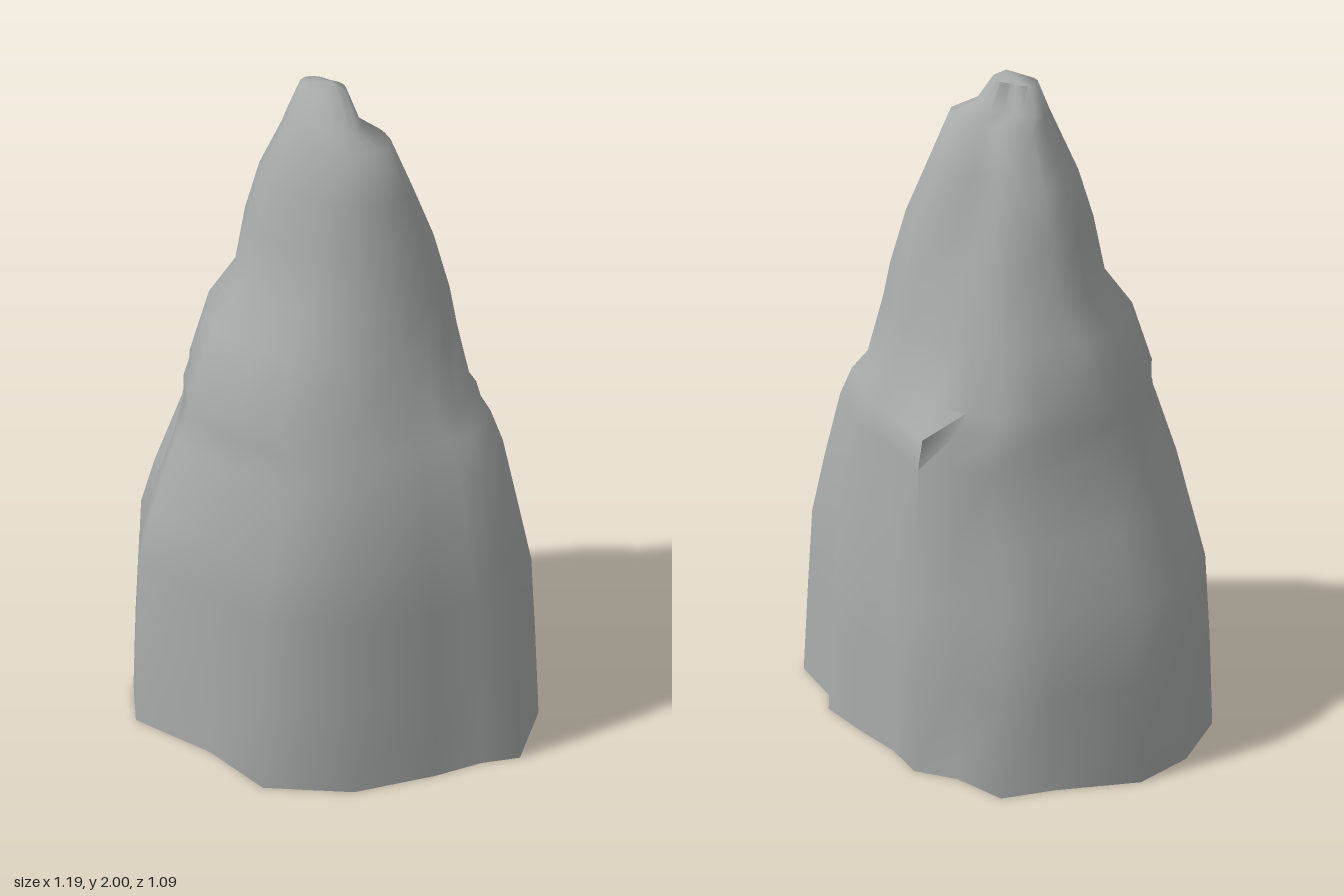
import * as THREE from 'three';
import { toCreasedNormals } from 'three/addons/utils/BufferGeometryUtils.js';

// Foot outline (x, z), clockwise seen from above, starting at the back
const FOOT = [
  [-0.2, -0.55], [0.05, -0.51], [0.21, -0.5], [0.3, -0.37], [0.41, -0.29], [0.44, -0.17],
  [0.51, -0.03], [0.57, 0.11], [0.55, 0.18], [0.59, 0.36], [0.46, 0.54], [0.34, 0.53],
  [0.19, 0.545], [-0.06, 0.545], [-0.31, 0.45], [-0.42, 0.25], [-0.6, 0.04], [-0.57, -0.13],
  [-0.51, -0.16], [-0.48, -0.21], [-0.515, -0.33], [-0.37, -0.48],
];

// Levels: y, xMin, xMax, zMin, zMax, roundness
const LEVELS = [
  [0, -0.6, 0.59, -0.545, 0.545, 0],
  [0.3, -0.58, 0.567, -0.523, 0.527, 0],
  [0.57, -0.557, 0.545, -0.5, 0.51, 0.05],
  [0.75, -0.515, 0.5, -0.425, 0.5, 0.15],
  [0.97, -0.43, 0.465, -0.38, 0.44, 0.3],
  [1.06, -0.405, 0.44, -0.36, 0.41, 0.4],
  [1.12, -0.4, 0.4, -0.35, 0.385, 0.5],
  [1.31, -0.32, 0.35, -0.31, 0.31, 0.6],
  [1.42, -0.235, 0.325, -0.262, 0.275, 0.65],
  [1.58, -0.2, 0.28, -0.235, 0.25, 0.7],
  [1.72, -0.155, 0.225, -0.205, 0.21, 0.75],
  [1.86, -0.095, 0.165, -0.145, 0.175, 0.8],
  [1.9, -0.075, 0.095, -0.13, 0.12, 0.85],
  [1.98, -0.04, 0.07, -0.1, 0.035, 0.9],
];

// Ledged pillars: outline index, top height, offset x and z at the top
const PILLARS = [
  [3, 0.97, 0.02, -0.03], [4, 1.06, 0.02, -0.07], [5, 1.06, 0.01, -0.03],
  [16, 0.97, -0.01, -0.03], [20, 0.75, -0.01, 0.01],
];

// Rounds the outline, draws the upper part out along one diagonal,
// then fits it into the extents of its level
function ring([y, x0, x1, z0, z1, round]) {
  const skew = THREE.MathUtils.smoothstep(y, 1.05, 1.75);
  const pts = FOOT.map(([x, z]) => {
    const a = Math.atan2(z / 0.545, x / 0.595);
    const stretch = 1 + skew * (0.22 * Math.sin(2 * a) - 0.2 * Math.cos(a + Math.PI / 4));
    return new THREE.Vector2(x / 0.595, z / 0.545)
      .lerp(new THREE.Vector2(Math.cos(a), Math.sin(a)), round)
      .multiplyScalar(stretch);
  });
  const box = new THREE.Box2().setFromPoints(pts);
  return pts.map((p, i) => {
    let x = THREE.MathUtils.mapLinear(p.x, box.min.x, box.max.x, x0, x1);
    let z = THREE.MathUtils.mapLinear(p.y, box.min.y, box.max.y, z0, z1);
    for (const [index, top, dx, dz] of PILLARS) {
      if (index === i && y <= top) {
        x += dx * y / top;
        z += dz * y / top;
      }
    }
    return [x, y, z];
  });
}

function rockGeometry() {
  const n = FOOT.length;
  const positions = LEVELS.flatMap((level) => ring(level).flat());
  const index = [];
  for (let l = 0; l < LEVELS.length - 1; l++) {
    for (let i = 0; i < n; i++) {
      const a = l * n + i, b = l * n + (i + 1) % n;
      index.push(a, a + n, b, b, a + n, b + n);
    }
  }
  // Peak
  const last = (LEVELS.length - 1) * n;
  positions.push(0.03, 2, 0);
  for (let i = 0; i < n; i++) index.push(last + i, last + n, last + (i + 1) % n);

  const geometry = new THREE.BufferGeometry();
  geometry.setAttribute('position', new THREE.Float32BufferAttribute(positions, 3));
  geometry.setIndex(index);
  return toCreasedNormals(geometry, 1.1);
}

export function createModel() {
  const group = new THREE.Group();
  group.name = 'rockSpire';
  // Hollow shell, open underneath
  const rock = new THREE.Mesh(rockGeometry(),
    new THREE.MeshStandardMaterial({ color: 0xa6aaa8, side: THREE.DoubleSide }));
  rock.name = 'rock';
  group.add(rock);
  return group;
}
